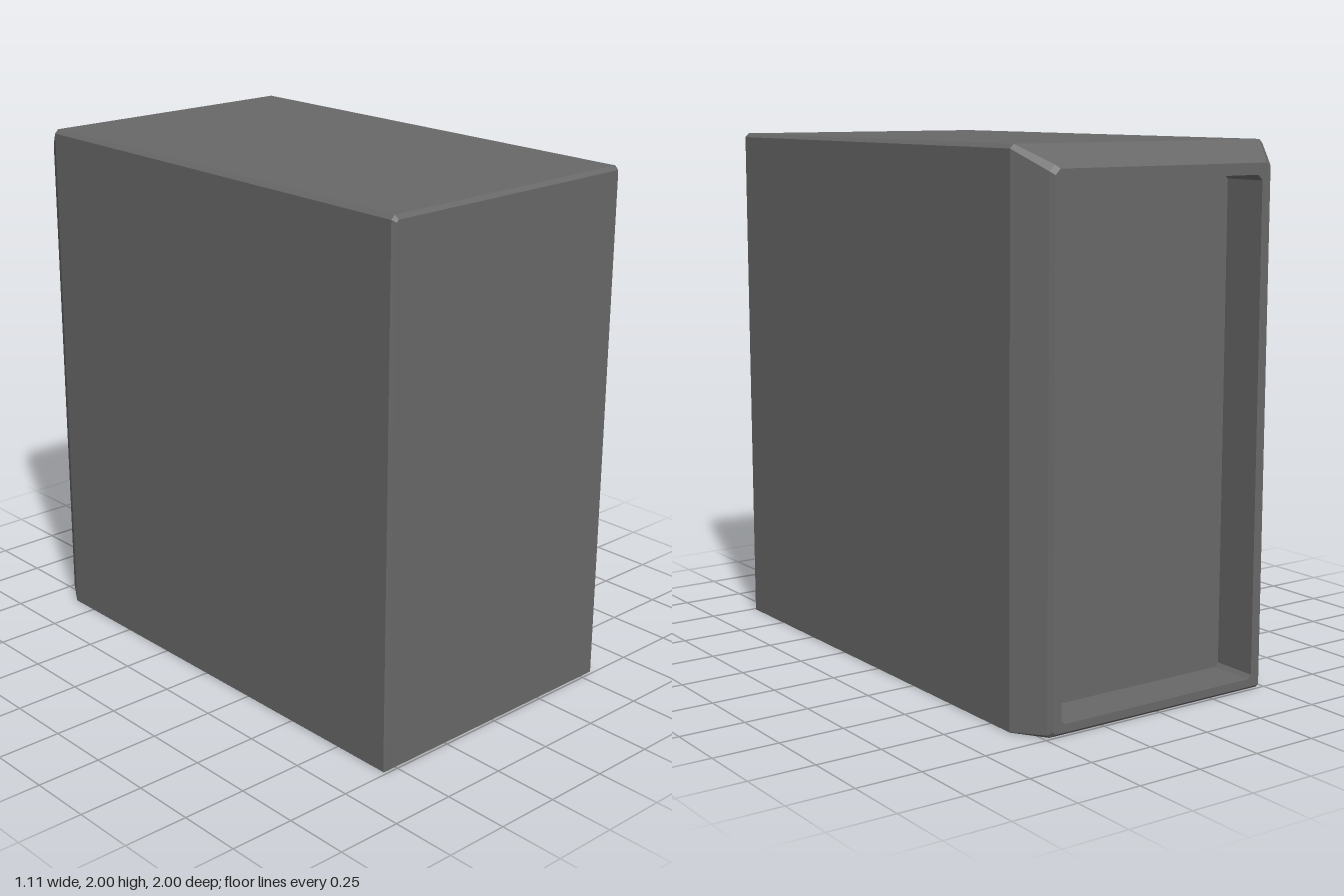
import * as THREE from 'three';

// Box outline, counter-clockwise from the front, with clipped top and bottom corners
function outline(z, w, y0, y1, top, bottom) {
  return [
    [w - bottom, y0], [w, y0 + bottom], [w, y1 - top], [w - top, y1],
    [top - w, y1], [-w, y1 - top], [-w, y0 + bottom], [bottom - w, y0],
  ].map(([x, y]) => [x, y, z]);
}

// Skin joining successive outlines
function loft(rings) {
  const pos = [];
  for (let i = 0; i < rings.length - 1; i++) {
    const a = rings[i], b = rings[i + 1], n = a.length;
    for (let j = 0; j < n; j++) {
      const k = (j + 1) % n;
      pos.push(...a[j], ...b[j], ...b[k], ...a[j], ...b[k], ...a[k]);
    }
  }
  return build(pos);
}

// Flat panel filling one outline
function panel(ring, facesBack) {
  const pos = [];
  for (let j = 1; j < ring.length - 1; j++) {
    const [p, q] = facesBack ? [j + 1, j] : [j, j + 1];
    pos.push(...ring[0], ...ring[p], ...ring[q]);
  }
  return build(pos);
}

function build(pos) {
  const geometry = new THREE.BufferGeometry();
  geometry.setAttribute('position', new THREE.Float32BufferAttribute(pos, 3));
  geometry.computeVertexNormals();
  return geometry;
}

export function createModel() {
  const group = new THREE.Group();
  group.name = 'casing';
  const grey = new THREE.MeshStandardMaterial({ color: 0x686868 });
  grey.name = 'dark grey';

  const front = outline(1, 0.545, 0.01, 1.985, 0.008, 0.002);
  const shoulder = outline(-0.865, 0.557, 0, 2, 0.015, 0.002);
  const rimOuter = outline(-1, 0.472, 0.012, 1.922, 0.02, 0.01);
  const rimInner = outline(-1, 0.435, 0.042, 1.88, 0.02, 0.015);
  const floor = outline(-0.82, 0.435, 0.042, 1.88, 0.02, 0.015);

  const add = (name, geometry) => {
    const mesh = new THREE.Mesh(geometry, grey);
    mesh.name = name;
    group.add(mesh);
  };
  add('frontPanel', panel(front, false));
  // Shell with a fine bevel around the front
  add('shell', loft([front, outline(0.987, 0.557, 0, 2, 0.015, 0.002), shoulder]));
  // Sloped back edge, softened where it meets the rim
  add('rearBevel', loft([shoulder, outline(-0.985, 0.485, 0, 1.935, 0.022, 0.01), rimOuter]));
  add('rearRim', loft([rimOuter, rimInner]));
  add('recessWalls', loft([rimInner, floor]));
  add('recessPanel', panel(floor, true));
  return group;
}
